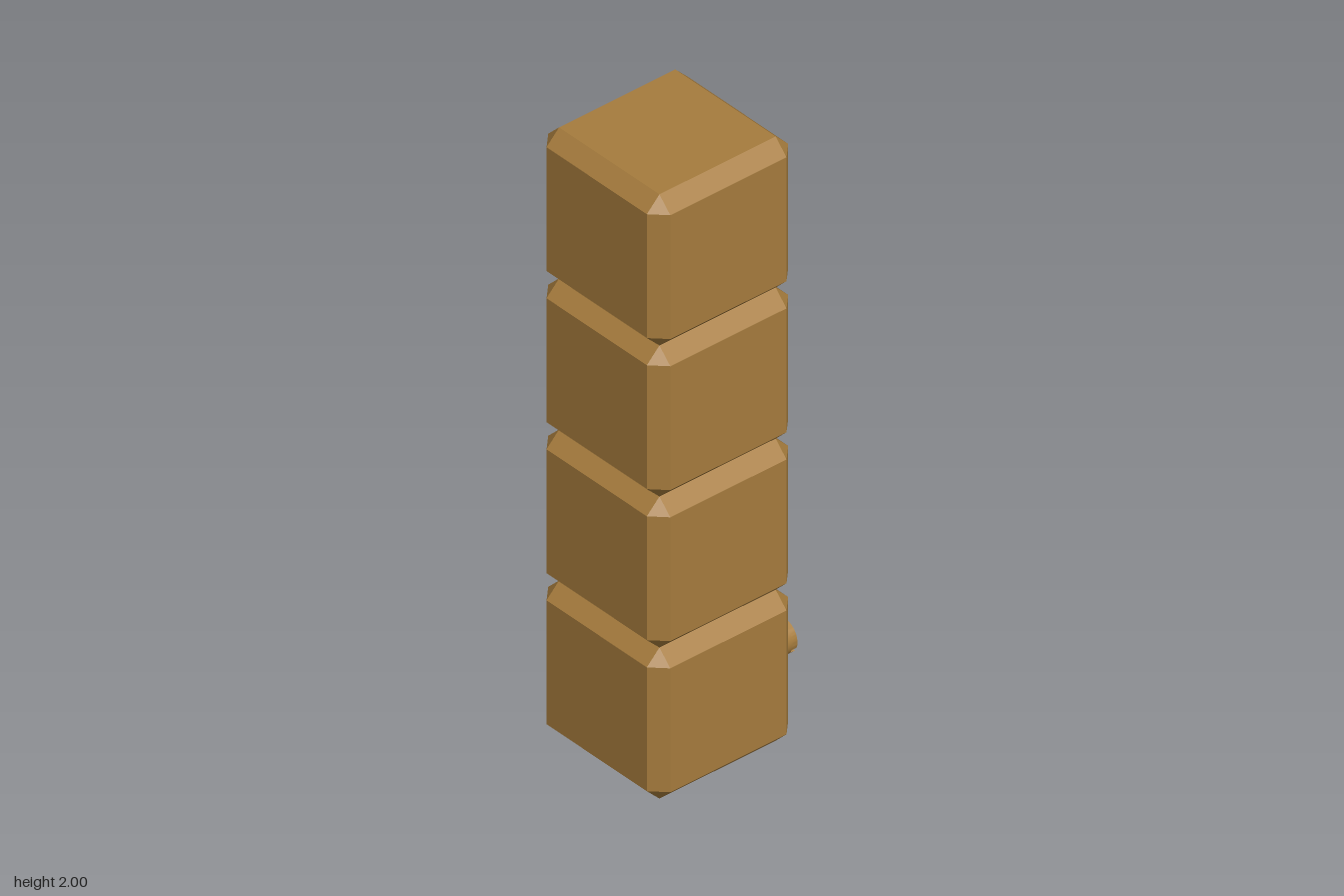
import * as THREE from 'three';
import { toCreasedNormals, mergeGeometries } from 'three/addons/utils/BufferGeometryUtils.js';
import { ConvexGeometry } from 'three/addons/geometries/ConvexGeometry.js';

const HALF = 0.2525, H = 0.5, CH = 0.045, FACE = 0.225, DEPTH = 0.04;
const wood = new THREE.MeshStandardMaterial({ color: 0xa67c3d });
wood.name = 'carved wood';

function add(parent, name, geometry, x = 0, y = 0, z = 0) {
  const mesh = new THREE.Mesh(geometry, wood);
  mesh.name = name;
  mesh.position.set(x, y, z);
  parent.add(mesh);
  return mesh;
}

// Chamfered block with its carved (+z) side left open
function blockShell() {
  const full = [HALF, H / 2, HALF];
  const points = [];
  for (let axis = 0; axis < 3; axis++)
    for (const sx of [-1, 1]) for (const sy of [-1, 1]) for (const sz of [-1, 1]) {
      const p = full.map((v, i) => (i === axis ? v : v - CH));
      points.push(new THREE.Vector3(p[0] * sx, p[1] * sy, p[2] * sz));
    }
  const hull = new ConvexGeometry(points);
  const pos = hull.attributes.position, nor = hull.attributes.normal;
  const kept = [];
  for (let i = 0; i < pos.count; i += 3) {
    if (nor.getZ(i) > 0.99) continue;
    for (let j = i; j < i + 3; j++) kept.push(pos.getX(j), pos.getY(j), pos.getZ(j));
  }
  const shell = new THREE.BufferGeometry();
  shell.setAttribute('position', new THREE.Float32BufferAttribute(kept, 3));
  shell.computeVertexNormals();
  return shell;
}

// Face panel with an optional carved-out hole
function facePanel(hole) {
  const w = HALF - CH, h = H / 2 - CH;
  const shape = new THREE.Shape([[-w, -h], [w, -h], [w, h], [-w, h]].map(p => new THREE.Vector2(...p)));
  if (hole) shape.holes.push(hole);
  const geo = new THREE.ExtrudeGeometry(shape, { depth: DEPTH, bevelEnabled: false, curveSegments: 24 });
  return toCreasedNormals(geo, 0.5);
}

// Rounded button profile, a flattened dome
function domeProfile(r, h) {
  const pts = [];
  for (let i = 0; i <= 12; i++) {
    const t = (i / 12) * Math.PI / 2;
    pts.push(new THREE.Vector2(r * Math.cos(t) ** 0.8, h * Math.sin(t) ** 0.8));
  }
  pts[12].x = 0;
  return pts;
}

function dome(r, h) {
  return new THREE.LatheGeometry(domeProfile(r, h), 32).rotateX(Math.PI / 2);
}

// Half dome with a flat inner wall, for the split nose
function halfDome(r, h) {
  const profile = domeProfile(r, h);
  const outer = new THREE.LatheGeometry(profile, 20, 0, Math.PI);
  const outline = [...profile, ...profile.slice(0, -1).reverse().map(p => new THREE.Vector2(-p.x, p.y))];
  const wall = new THREE.ShapeGeometry(new THREE.Shape(outline)).rotateY(-Math.PI / 2);
  return mergeGeometries([outer, wall]).rotateX(Math.PI / 2);
}

// Round mouth, tall slot and zigzag crack outlines, relative to the block centre
function roundHole() {
  return new THREE.Path().absarc(0, -0.045, 0.1, 0, Math.PI * 2, true);
}
function slotHole() {
  const p = new THREE.Path();
  p.absarc(0, 0.1, 0.05, 0, Math.PI, false);
  p.absarc(0, -0.11, 0.05, Math.PI, Math.PI * 2, false);
  p.closePath();
  return p;
}
function crackHole() {
  const line = [[-0.02, 0.203], [-0.02, 0.13], [0.03, 0.09], [0.03, 0.015],
    [-0.02, -0.02], [-0.02, -0.10], [0.03, -0.14], [0.03, -0.203]];
  const left = line.map(([x, y]) => new THREE.Vector2(x - 0.013, y));
  const right = line.map(([x, y]) => new THREE.Vector2(x + 0.013, y)).reverse();
  return new THREE.Path([...left, ...right]);
}

export function createModel() {
  const root = new THREE.Group();
  root.name = 'totem';
  const totem = new THREE.Group();
  totem.name = 'blockStack';
  totem.rotation.y = Math.PI; // carved faces look to the back
  root.add(totem);

  // Four stacked blocks, bottom to top
  const shell = blockShell();
  const holes = [roundHole(), null, crackHole(), slotHole()];
  const blocks = holes.map((hole, i) => {
    const block = new THREE.Group();
    block.name = 'block' + (i + 1);
    block.position.y = H * (i + 0.5);
    totem.add(block);
    add(block, 'body', shell, 0, 0, FACE - HALF);
    add(block, 'facePanel', facePanel(hole), 0, 0, FACE - DEPTH);
    if (hole) add(block, 'recessFloor', new THREE.PlaneGeometry(0.41, 0.41), 0, 0, FACE - DEPTH + 0.001);
    return block;
  });
  const button = (i, name, x, y, r, h) => add(blocks[i], name, dome(r, h), x, y, FACE);

  // Bottom face: one round eye and one slotted eye
  button(0, 'roundEye', 0.15, 0.035, 0.056, 0.036);
  const screw = new THREE.Group();
  screw.name = 'slottedEye';
  screw.position.set(-0.15, 0.035, FACE);
  screw.rotation.z = Math.PI / 6;
  blocks[0].add(screw);
  const R = 0.053, gap = 0.008, a = Math.asin(gap / R);
  add(screw, 'eyeBase', new THREE.CylinderGeometry(R, R, 0.02, 32).rotateX(Math.PI / 2), 0, 0, 0.01);
  const segment = new THREE.Shape().absarc(0, 0, R, a, Math.PI - a, false);
  const segmentGeo = toCreasedNormals(
    new THREE.ExtrudeGeometry(segment, { depth: 0.017, bevelEnabled: false, curveSegments: 16 }), 0.5);
  for (const turn of [0, Math.PI]) add(screw, 'eyeHalf', segmentGeo, 0, 0, 0.02).rotation.z = turn;

  // Second face: large eyes, cheek dots and split nose
  for (const s of [-1, 1]) {
    button(1, 'largeEye', s * 0.09, 0.085, 0.076, 0.042);
    button(1, 'upperCheek', s * 0.153, -0.05, 0.038, 0.026);
    button(1, 'lowerCheek', s * 0.153, -0.135, 0.038, 0.026);
    const half = add(blocks[1], 'noseHalf', halfDome(0.1, 0.058), s * 0.003, -0.08, FACE);
    if (s < 0) half.rotation.z = Math.PI;
  }

  // Third face: staggered eyes either side of the crack
  button(2, 'upperEye', -0.073, 0.05, 0.067, 0.04);
  button(2, 'lowerEye', 0.087, -0.07, 0.065, 0.037);

  // Top face: small eyes above the slot
  for (const s of [-1, 1]) button(3, 'smallEye', s * 0.103, 0.15, 0.04, 0.026);

  return root;
}
